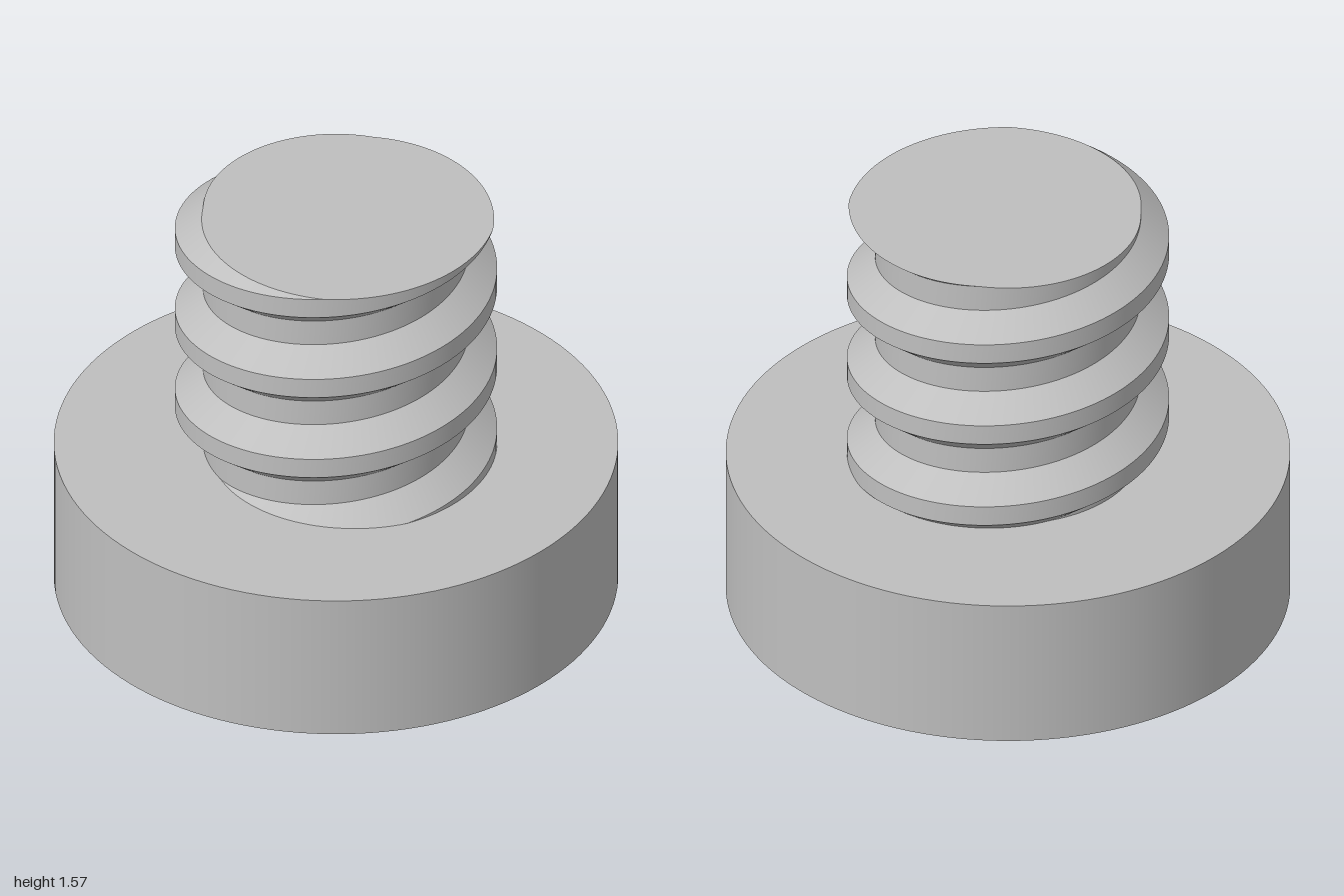
import * as THREE from 'three';
import { toCreasedNormals } from 'three/addons/utils/BufferGeometryUtils.js';

const SEGMENTS = 128;
const HEAD_RADIUS = 1, HEAD_TOP = 0.571, SHAFT_TOP = 1.571;
const ROOT = 0.471, CREST = 0.571, PITCH = 0.343;
const HALF_CREST = 0.039, HALF_BASE = 0.121;
const SLOT = { length: 1.286, width: 0.229, depth: 0.286 };

// Height of the crest centre at an angle, for a given turn
const crestHeight = (angle, turn) => 0.744 + PITCH * (turn + angle / (2 * Math.PI));

// Radius of the threaded surface at an angle and height
function threadRadius(angle, y) {
  const turns = (y - crestHeight(angle, 0)) / PITCH;
  const d = Math.abs(turns - Math.round(turns)) * PITCH;
  const t = (HALF_BASE - d) / (HALF_BASE - HALF_CREST);
  return ROOT + (CREST - ROOT) * THREE.MathUtils.clamp(t, 0, 1);
}

// Helical bands clipped flat at both ends, closed by a cap
function threadGeometry() {
  const positions = [], index = [], columns = [];
  for (let i = 0; i <= SEGMENTS; i++) {
    const angle = (i / SEGMENTS) * Math.PI * 2;
    const heights = [HEAD_TOP];
    for (let turn = -2; turn <= 3; turn++) {
      for (const offset of [-HALF_BASE, -HALF_CREST, HALF_CREST, HALF_BASE]) {
        heights.push(THREE.MathUtils.clamp(crestHeight(angle, turn) + offset, HEAD_TOP, SHAFT_TOP));
      }
    }
    heights.push(SHAFT_TOP);
    columns.push(heights);
    for (const y of heights) {
      const r = threadRadius(angle, y);
      positions.push(-r * Math.cos(angle), y, r * Math.sin(angle));
    }
  }
  const rows = columns[0].length;
  const centre = positions.length / 3;
  positions.push(0, SHAFT_TOP, 0);
  for (let i = 0; i < SEGMENTS; i++) {
    for (let j = 0; j < rows - 1; j++) {
      const a = i * rows + j, b = a + rows;
      if (columns[i + 1][j + 1] > columns[i + 1][j]) index.push(a, b, b + 1);
      if (columns[i][j + 1] > columns[i][j]) index.push(a, b + 1, a + 1);
    }
    index.push(centre, i * rows + rows - 1, (i + 1) * rows + rows - 1);
  }
  const geometry = new THREE.BufferGeometry();
  geometry.setAttribute('position', new THREE.Float32BufferAttribute(positions, 3));
  geometry.setIndex(index);
  return toCreasedNormals(geometry, 0.5);
}

export function createModel() {
  const model = new THREE.Group();
  model.name = 'slottedScrew';
  const steel = new THREE.MeshStandardMaterial({ color: 0xbfbfbf });
  steel.name = 'grey steel';

  const add = (parent, name, geometry) => {
    const mesh = new THREE.Mesh(geometry, steel);
    mesh.name = name;
    parent.add(mesh);
    return mesh;
  };

  // Head: side wall, top disc and slotted underside
  const head = new THREE.Group();
  head.name = 'head';
  model.add(head);
  const side = new THREE.CylinderGeometry(HEAD_RADIUS, HEAD_RADIUS, HEAD_TOP, SEGMENTS, 1, true);
  add(head, 'headSide', side.translate(0, HEAD_TOP / 2, 0));
  const disc = new THREE.CircleGeometry(HEAD_RADIUS, SEGMENTS).rotateX(-Math.PI / 2);
  add(head, 'headTop', disc.translate(0, HEAD_TOP, 0));

  const { length, width, depth } = SLOT;
  const x = length / 2, z = width / 2;
  const underside = new THREE.Shape().absarc(0, 0, HEAD_RADIUS, 0, Math.PI * 2);
  underside.holes.push(new THREE.Path([
    new THREE.Vector2(-x, -z), new THREE.Vector2(-x, z),
    new THREE.Vector2(x, z), new THREE.Vector2(x, -z), new THREE.Vector2(-x, -z),
  ]));
  add(head, 'headUnderside', new THREE.ShapeGeometry(underside, SEGMENTS / 2).rotateX(Math.PI / 2));

  // Driver slot: inward-facing walls and floor
  const slot = new THREE.Group();
  slot.name = 'driverSlot';
  head.add(slot);
  add(slot, 'slotFloor', new THREE.PlaneGeometry(length, width).rotateX(Math.PI / 2).translate(0, depth, 0));
  for (const turn of [0, Math.PI]) {
    add(slot, 'slotLongWall', new THREE.PlaneGeometry(length, depth).translate(0, depth / 2, -z).rotateY(turn));
    add(slot, 'slotEndWall', new THREE.PlaneGeometry(width, depth).translate(0, depth / 2, -x).rotateY(turn + Math.PI / 2));
  }

  // Threaded shaft
  add(model, 'threadedShaft', threadGeometry());
  return model;
}
